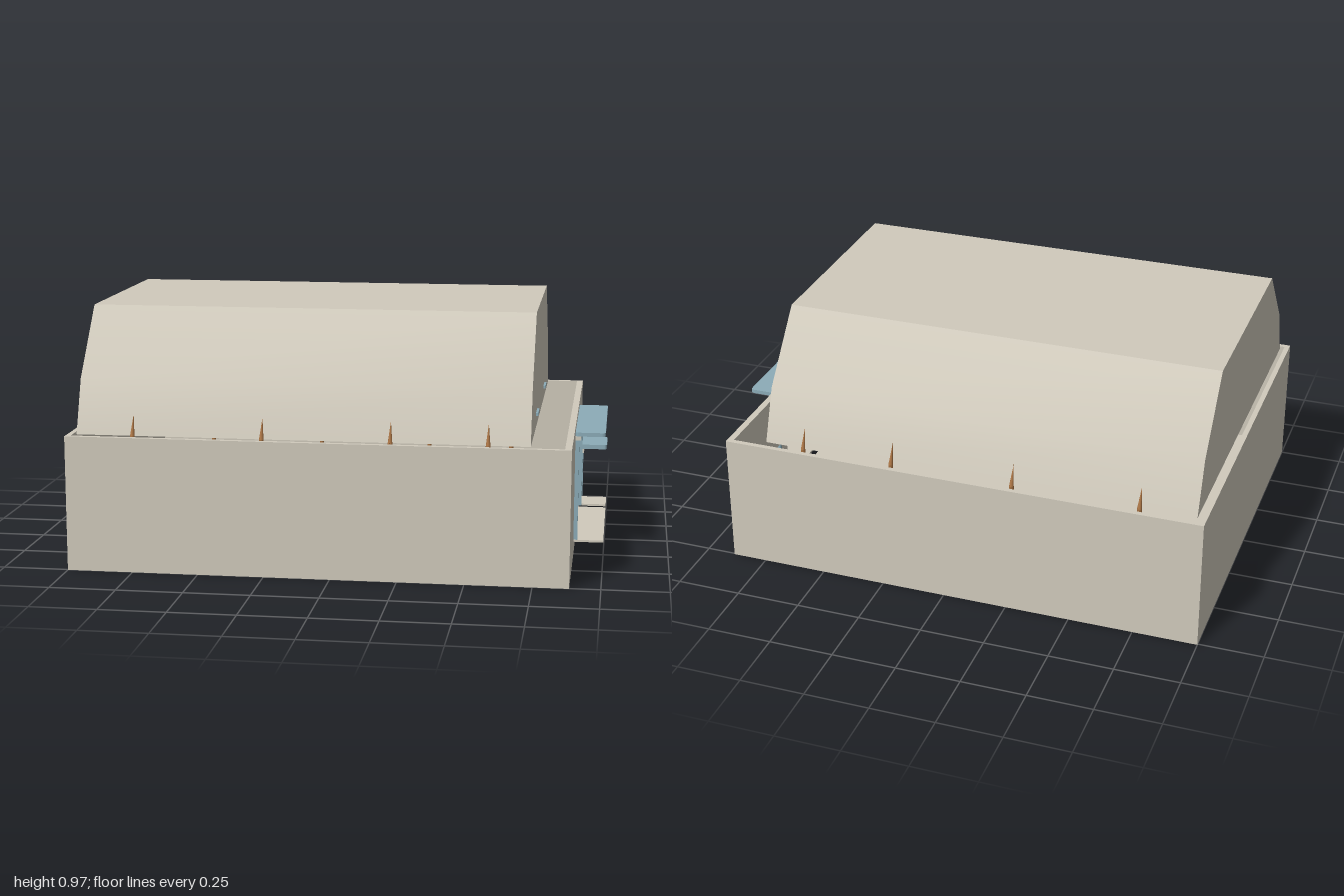
import * as THREE from 'three';
import { toCreasedNormals } from 'three/addons/utils/BufferGeometryUtils.js';

const material = (name, color) => Object.assign(new THREE.MeshStandardMaterial({ color }), { name });

export function createModel() {
  const model = new THREE.Group();
  model.name = 'vaultedBuilding';
  const stone = material('stone', 0xd0cabc);
  const blue = material('steelBlue', 0x8cacb8);
  const bronze = material('bronze', 0xa87344);

  function add(name, geometry, mat) {
    const mesh = new THREE.Mesh(geometry, mat);
    mesh.name = name;
    model.add(mesh);
    return mesh;
  }
  // Box given by its minimum and maximum corners
  function box(name, mat, x0, x1, y0, y1, z0, z1) {
    const mesh = add(name, new THREE.BoxGeometry(x1 - x0, y1 - y0, z1 - z0), mat);
    mesh.position.set((x0 + x1) / 2, (y0 + y1) / 2, (z0 + z1) / 2);
    return mesh;
  }
  // Side profile of (z, y) points extruded along x
  const outline = (pts) => pts.map(([z, y]) => new THREE.Vector2(-z, y));
  function acrossX(shape, x0, x1) {
    const g = new THREE.ExtrudeGeometry(shape, { depth: x1 - x0, bevelEnabled: false });
    return toCreasedNormals(g.rotateY(Math.PI / 2).translate(x0, 0, 0), 0.6);
  }
  const rect = (z0, z1, y0, y1) => outline([[z0, y0], [z1, y0], [z1, y1], [z0, y1]]);

  // Walls and floor of the open base
  const wallTop = 0.515, floorY = 0.06;
  const doors = [
    { z0: -0.28, z1: 0.28, top: 0.46, roof: 0.476, eave: 0.015 },
    { z0: -0.473, z1: -0.332, top: 0.285, roof: 0.302, eave: 0.018 },
  ];
  box('floor', stone, -0.98, 0.86, 0, floorY, -0.735, 0.735);
  box('endWall', stone, -1, -0.98, 0, wallTop, -0.755, 0.755);
  for (const s of [-1, 1]) {
    const z = s * 0.745;
    box('longWall', stone, -0.98, 0.86, 0, wallTop, z - 0.01, z + 0.01);
  }
  const doorWall = new THREE.Shape(rect(-0.755, 0.755, 0, wallTop));
  for (const d of doors) doorWall.holes.push(new THREE.Path(rect(d.z0, d.z1, floorY, d.top)));
  add('doorWall', acrossX(doorWall, 0.86, 0.885), stone);

  // Vaulted roof: a hollow shell closed by two end gables
  const outer = [[0.71, wallTop], [0.635, 0.715], [0.42, 0.968], [-0.42, 0.968], [-0.635, 0.715], [-0.71, wallTop]];
  const inner = [[-0.695, wallTop], [-0.622, 0.71], [-0.413, 0.955], [0.413, 0.955], [0.622, 0.71], [0.695, wallTop]];
  add('roofVault', acrossX(new THREE.Shape(outline([...outer, ...inner])), -0.965, 0.735), stone);
  const gable = new THREE.Shape(outline(inner));
  add('gable', acrossX(gable, -0.965, -0.95), stone);
  add('gable', acrossX(gable, 0.72, 0.735), stone);

  // Slim vents on the gable above the doors
  for (const z of [-0.303, 0.303]) box('vent', blue, 0.733, 0.744, 0.563, 0.574, z - 0.051, z + 0.051);

  // Poles standing on the floor, with tips leaning against the vault
  for (const x of [-0.75, -0.26, 0.22, 0.58]) {
    for (const s of [-1, 1]) {
      const pole = add('pole', new THREE.CylinderGeometry(0.009, 0.009, wallTop - floorY, 8), bronze);
      pole.position.set(x, (wallTop + floorY) / 2, s * 0.711);
      const tip = add('poleTip', new THREE.ConeGeometry(0.009, 0.085, 8), bronze);
      tip.position.set(x, 0.552, s * 0.699);
      tip.rotation.x = -s * 0.34;
    }
  }

  // Rounded canopy slab lying flat
  function canopy(z0, z1, y, height) {
    const x0 = 0.885, x1 = 1, r = 0.015, a = -z1, b = -z0;
    const s = new THREE.Shape();
    s.moveTo(x0 + r, a).lineTo(x1 - r, a).quadraticCurveTo(x1, a, x1, a + r);
    s.lineTo(x1, b - r).quadraticCurveTo(x1, b, x1 - r, b);
    s.lineTo(x0 + r, b).quadraticCurveTo(x0, b, x0, b - r);
    s.lineTo(x0, a + r).quadraticCurveTo(x0, a, x0 + r, a);
    const g = new THREE.ExtrudeGeometry(s, { depth: height, bevelEnabled: false, curveSegments: 4 });
    add('canopy', g.rotateX(-Math.PI / 2).translate(0, y, 0), blue);
  }

  // Doorways: posts, lintel, canopy and projecting sill
  for (const d of doors) {
    box('doorPost', blue, 0.885, 0.9, 0.068, d.top, d.z0 - 0.015, d.z0 + 0.002);
    box('doorPost', blue, 0.885, 0.9, 0.068, d.top, d.z1 - 0.002, d.z1 + 0.015);
    box('lintel', stone, 0.885, 0.906, d.top, d.roof, d.z0 - 0.015, d.z1 + 0.015);
    box('sill', stone, 0.885, 1, 0.056, 0.064, d.z0, d.z1);
    canopy(d.z0 - 0.018, d.z1 + 0.016, d.roof, d.eave);
  }
  return model;
}
